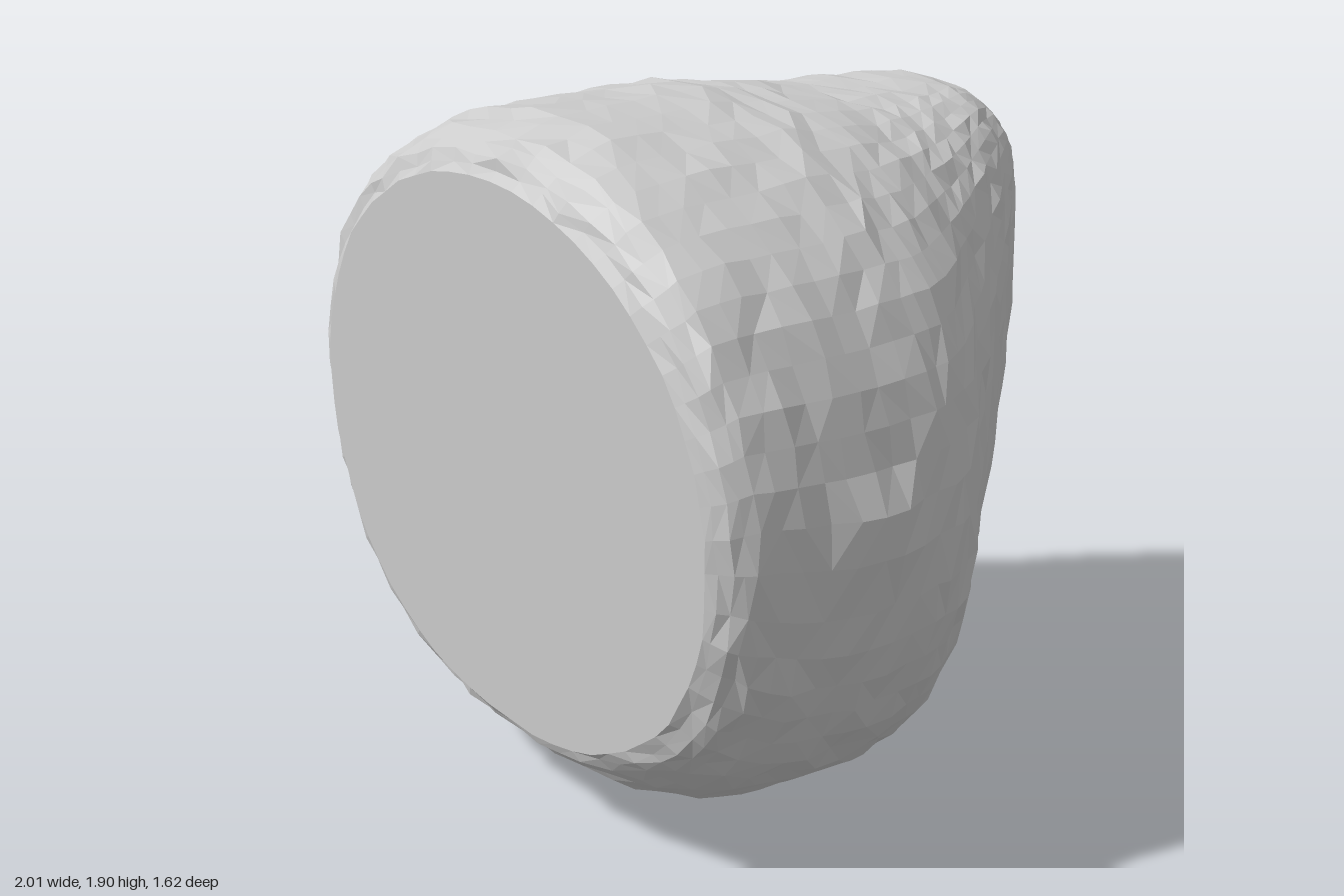
import * as THREE from 'three';

// Cross-sections from front to back:
// [z, half width, top y, bottom y, squareness of upper half, squareness of lower half]
const SECTIONS = [
  [0.81, 0.86, 1.76, 0.27, 2.05, 2.15], [0.78, 0.915, 1.81, 0.23, 2.1, 2.25], [0.72, 0.945, 1.86, 0.18, 2.15, 2.35],
  [0.6, 0.957, 1.89, 0.1, 2.15, 2.4], [0.45, 0.962, 1.892, 0.06, 2.15, 2.4], [0.3, 0.962, 1.892, 0.04, 2.15, 2.4],
  [0.15, 0.95, 1.89, 0.04, 2.15, 2.4], [0.05, 0.92, 1.872, 0.045, 2.2, 2.4], [-0.05, 0.865, 1.858, 0.07, 2.3, 2.35],
  [-0.2, 0.725, 1.83, 0.17, 2.5, 2.3], [-0.3, 0.645, 1.817, 0.27, 2.6, 2.25], [-0.4, 0.57, 1.815, 0.41, 2.7, 2.2],
  [-0.5, 0.485, 1.815, 0.59, 2.75, 2.2], [-0.6, 0.4, 1.812, 0.82, 2.7, 2.2], [-0.7, 0.305, 1.777, 1.11, 2.5, 2.2],
  [-0.77, 0.22, 1.725, 1.34, 2.3, 2.15], [-0.81, 0.13, 1.665, 1.46, 2.2, 2.1],
];
const SEGMENTS = 60;
const STEPS = 2;

// Repeatable noise in the range -1..1
function noise(i, j) {
  const n = Math.sin(i * 127.1 + j * 311.7) * 43758.5453;
  return 2 * (n - Math.floor(n)) - 1;
}

// Small flat-topped knobs on both sides and underneath
const KNOBS = [[0.96, 0.98, 0.38], [-0.96, 0.98, 0.38], [0, 0.035, 0.23]];
function knob(x, y, z) {
  return KNOBS.reduce((sum, [kx, ky, kz]) => {
    const d = Math.hypot(x - kx, y - ky, z - kz);
    return sum + 0.036 * (1 - THREE.MathUtils.smoothstep(d, 0.1, 0.2));
  }, 0);
}

function ringAt(r) {
  const i = Math.min(Math.floor(r / STEPS), SECTIONS.length - 2);
  const t = r / STEPS - i;
  return SECTIONS[i].map((v, k) => v + (SECTIONS[i + 1][k] - v) * t);
}

const power = (v, p) => Math.sign(v) * Math.abs(v) ** (2 / p);

function boulderGeometry() {
  const positions = [];
  const index = [];
  const last = (SECTIONS.length - 1) * STEPS;

  // Rounded rings, roughened everywhere but on the cut face
  for (let r = 0; r <= last; r++) {
    const [z, w, top, bottom, upper, lower] = ringAt(r);
    const inner = r > 0 && r < last;
    const grain = 0.009 * Math.min(1, w * 1.5);
    for (let s = 0; s < SEGMENTS; s++) {
      const a = (s / SEGMENTS) * Math.PI * 2;
      const c = Math.cos(a);
      const d = Math.sin(a);
      const p = d > 0 ? upper : lower;
      const x = w * power(c, p);
      const y = (top + bottom) / 2 + ((top - bottom) / 2) * power(d, p);
      const rough = (inner ? grain : 0.004) * noise(r, s) + knob(x, y, z);
      positions.push(x + c * rough, y + d * rough, z + (inner ? grain * noise(s, r + 50) : 0));
    }
  }

  // Skin between the rings
  for (let r = 0; r < last; r++) {
    for (let s = 0; s < SEGMENTS; s++) {
      const n = (s + 1) % SEGMENTS;
      const a = r * SEGMENTS + s;
      const b = r * SEGMENTS + n;
      const c = a + SEGMENTS;
      const d = b + SEGMENTS;
      if (noise(s, r) > 0) index.push(a, c, b, b, c, d);
      else index.push(a, c, d, a, d, b);
    }
  }

  // Flat front face and small blunt back end
  for (const r of [0, last]) {
    const [z, , top, bottom] = ringAt(r);
    const centre = positions.length / 3;
    positions.push(0, (top + bottom) / 2, z);
    for (let s = 0; s < SEGMENTS; s++) {
      const a = r * SEGMENTS + s;
      const b = r * SEGMENTS + ((s + 1) % SEGMENTS);
      if (r === 0) index.push(centre, a, b);
      else index.push(centre, b, a);
    }
  }

  const geometry = new THREE.BufferGeometry();
  geometry.setAttribute('position', new THREE.Float32BufferAttribute(positions, 3));
  geometry.setIndex(index);
  geometry.computeVertexNormals();
  return geometry;
}

export function createModel() {
  const group = new THREE.Group();
  group.name = 'boulder';
  const material = new THREE.MeshStandardMaterial({ color: 0xcccccc, flatShading: true });
  const rock = new THREE.Mesh(boulderGeometry(), material);
  rock.name = 'rock';
  group.add(rock);
  return group;
}
